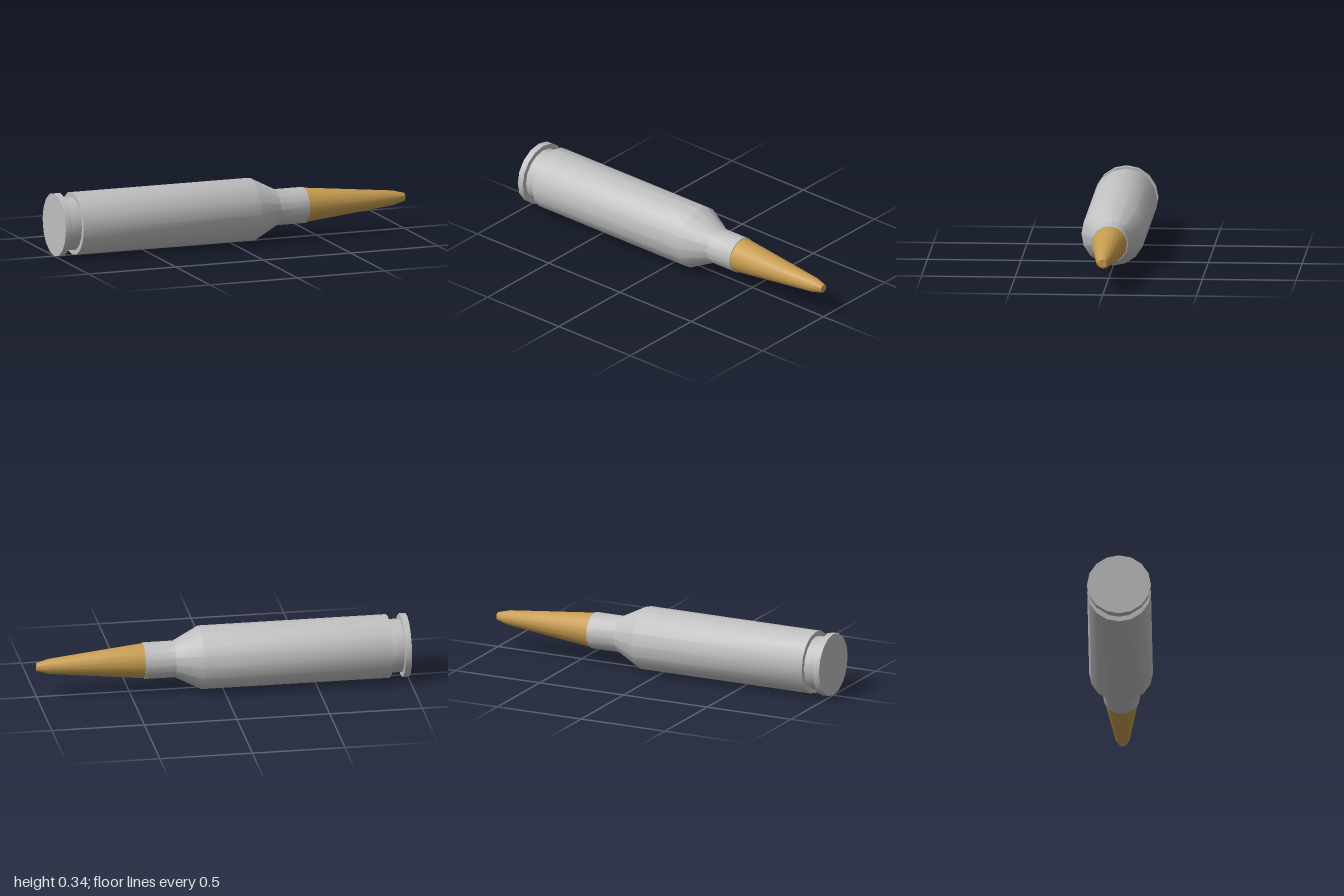
import * as THREE from 'three';
import { toCreasedNormals } from 'three/addons/utils/BufferGeometryUtils.js';

const SIDES = 16;
const AXIS_HEIGHT = 0.17;

// Turns a profile of [x, radius] points around the long horizontal axis
function turned(name, profile, material) {
  const points = profile.map(([x, r]) => new THREE.Vector2(r, x));
  const lathe = new THREE.LatheGeometry(points, SIDES);
  lathe.rotateZ(-Math.PI / 2);
  const mesh = new THREE.Mesh(toCreasedNormals(lathe, Math.PI / 6), material);
  mesh.name = name;
  mesh.position.y = AXIS_HEIGHT;
  return mesh;
}

export function createModel() {
  const silver = new THREE.MeshStandardMaterial({ color: 0xc0c0c0 });
  silver.name = 'silver metal';
  const copper = new THREE.MeshStandardMaterial({ color: 0xc89d50 });
  copper.name = 'copper jacket';

  const model = new THREE.Group();
  model.name = 'cartridge';

  // Casing: flat base, rim, extractor groove, body, shoulder, neck and mouth
  model.add(turned('casing', [
    [-1, 0], [-1, 0.17], [-0.965, 0.17],
    [-0.965, 0.143], [-0.897, 0.143], [-0.897, 0.17],
    [0.12, 0.17], [0.26, 0.098], [0.425, 0.098], [0.425, 0.085],
  ], silver));

  // Projectile: long taper with a short blunt nose
  model.add(turned('projectile', [
    [0.42, 0.094], [0.425, 0.094], [0.935, 0.04], [1, 0.022], [1, 0],
  ], copper));

  return model;
}
